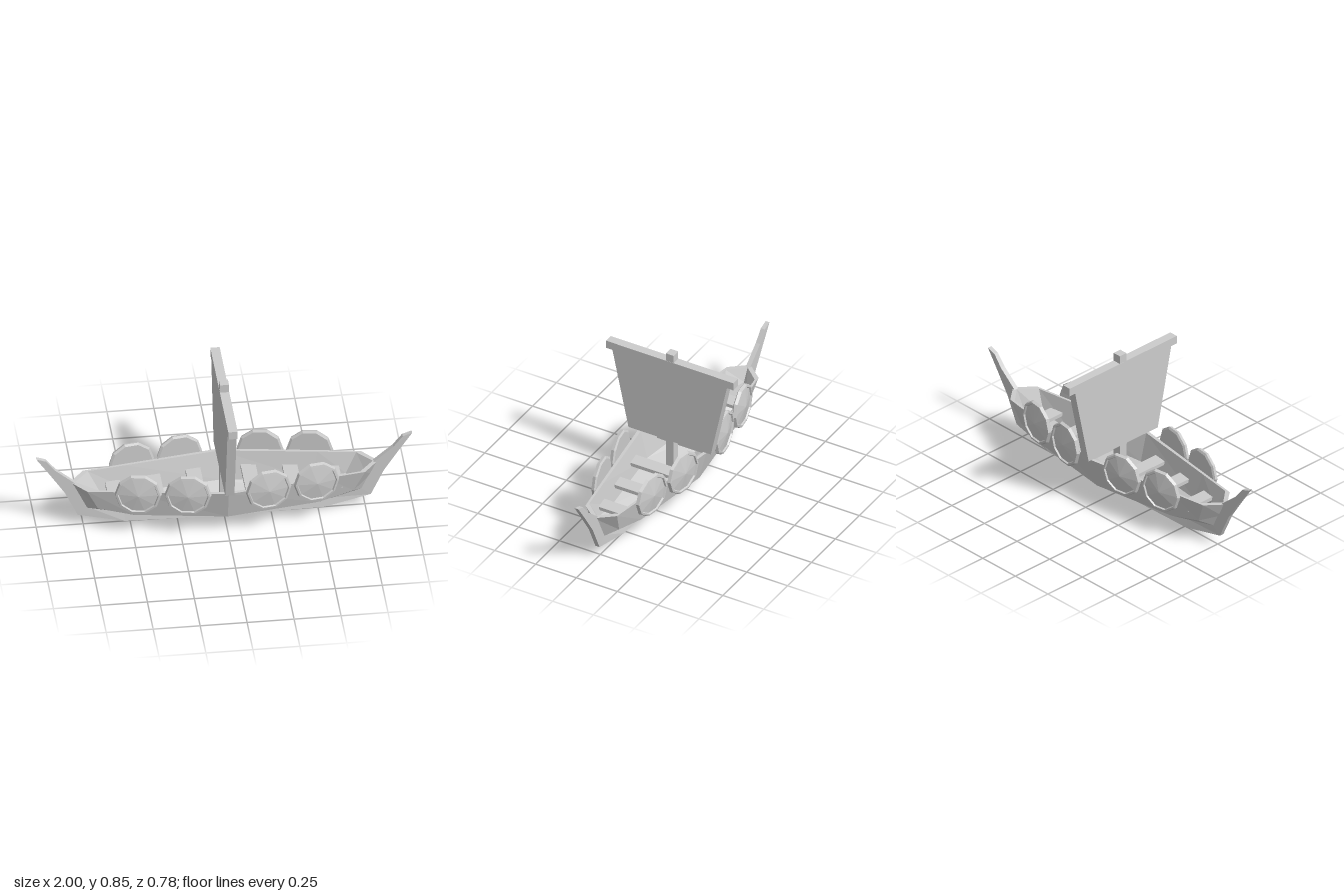
import * as THREE from 'three';

const material = new THREE.MeshStandardMaterial({ color: 0xcccccc, flatShading: true });

function add(parent, name, geometry, x = 0, y = 0, z = 0) {
  const mesh = new THREE.Mesh(geometry, material);
  mesh.name = name;
  mesh.position.set(x, y, z);
  parent.add(mesh);
  return mesh;
}

// Skin a row of closed rings (arrays of [x, y, z]) running from -x to +x
function loft(rings) {
  const n = rings[0].length;
  const index = [];
  for (let i = 0; i < rings.length - 1; i++) {
    for (let j = 0; j < n; j++) {
      const a = i * n + j, b = i * n + (j + 1) % n;
      index.push(a, b, b + n, a, b + n, a + n);
    }
  }
  const indexed = new THREE.BufferGeometry();
  indexed.setAttribute('position', new THREE.Float32BufferAttribute(rings.flat(2), 3));
  indexed.setIndex(index);
  const geometry = indexed.toNonIndexed();
  geometry.computeVertexNormals();
  return geometry;
}

// Mirror the stations of one half about the middle of the ship
function bothEnds(half, makeRing) {
  const flipped = half.slice(1).reverse().map(s => s.map(([x, y, z]) => [-x, y, z]));
  return [...flipped, ...half].map(makeRing);
}

const flipZ = ([x, y, z]) => [x, y, -z];

function hullGeometry() {
  // Each station: keel, chine, gunwale
  const half = [
    [[0, 0.04, 0], [0, 0.1, 0.167], [0, 0.275, 0.21]],
    [[0.53, 0.055, 0], [0.49, 0.105, 0.1], [0.53, 0.275, 0.13]],
    [[0.74, 0.105, 0], [0.68, 0.145, 0.074], [0.74, 0.275, 0.097]],
    [[0.74, 0.105, 0], [0.78, 0.19, 0], [0.82, 0.275, 0]],
  ];
  return loft(bothEnds(half, ([keel, chine, gunwale]) => {
    // Outer skin, then the inner skin back again, joined by the rim
    const inner = ([x, y, z], lift) => [x * 0.965, y + lift, z * 0.91];
    const k = inner(keel, 0.018), c = inner(chine, 0.015), g = inner(gunwale, 0);
    return [gunwale, chine, keel, flipZ(chine), flipZ(gunwale), flipZ(g), flipZ(c), k, c, g];
  }));
}

function keelGeometry() {
  // Each station: outer edge, inner edge; z is the half thickness
  const half = [
    [[0, 0, 0.018], [0, 0.046, 0.01]],
    [[0.53, 0.012, 0.018], [0.53, 0.062, 0.01]],
    [[0.78, 0.07, 0.013], [0.725, 0.115, 0.013]],
    [[0.85, 0.22, 0.013], [0.795, 0.275, 0.013]],
    [[0.925, 0.335, 0.013], [0.9, 0.365, 0.013]],
    [[1, 0.445, 0.012], [0.95, 0.428, 0.012]],
    [[0.975, 0.436, 0], [0.975, 0.436, 0]],
  ];
  return loft(bothEnds(half, ([outer, inner]) => [outer, flipZ(outer), flipZ(inner), inner]));
}

// Tapered slab, narrower at the foot
function sailGeometry(topY, bottomY, topHalf, bottomHalf, thickness) {
  const geometry = new THREE.BoxGeometry(thickness, 1, 2);
  const p = geometry.attributes.position;
  for (let i = 0; i < p.count; i++) {
    const top = p.getY(i) > 0;
    p.setY(i, top ? topY : bottomY);
    p.setZ(i, p.getZ(i) * (top ? topHalf : bottomHalf));
  }
  geometry.computeVertexNormals();
  return geometry;
}

// Ten-sided shield: flat back, raised rim, shallow pointed dome
function shieldGeometry() {
  const profile = [[0, 0], [0.113, 0], [0.125, 0.007], [0.119, 0.024], [0.108, 0.026], [0.104, 0.017], [0, 0.034]];
  const points = profile.map(([r, h]) => new THREE.Vector2(r, h));
  return new THREE.LatheGeometry(points, 10, Math.PI / 2).rotateX(Math.PI / 2);
}

export function createModel() {
  const ship = new THREE.Group();
  ship.name = 'longship';

  add(ship, 'hull', hullGeometry());
  add(ship, 'keelAndStems', keelGeometry());

  // Rowing benches: distance from the middle, half length
  for (const [x, halfLength] of [[0.147, 0.158], [0.365, 0.128], [0.582, 0.095]]) {
    for (const s of [-1, 1]) {
      add(ship, 'bench', new THREE.BoxGeometry(0.08, 0.02, halfLength * 2), s * x, 0.19, 0);
    }
  }

  // Mast, yard and sail
  add(ship, 'mast', new THREE.BoxGeometry(0.048, 0.8, 0.048), 0, 0.45, 0);
  add(ship, 'yard', new THREE.BoxGeometry(0.05, 0.046, 0.78), 0, 0.78, 0);
  add(ship, 'sail', sailGeometry(0.77, 0.295, 0.353, 0.252, 0.049));

  // Four shields along each gunwale, turned to follow its slope
  const shield = shieldGeometry();
  const slope = 0.152;
  for (const turn of [0, Math.PI]) {
    const row = new THREE.Group();
    row.name = turn ? 'rightShields' : 'leftShields';
    if (!turn) row.name = 'frontShields'; else row.name = 'backShields';
    row.rotation.y = turn;
    for (const x of [-0.473, -0.213, 0.213, 0.473]) {
      const mesh = add(row, 'shield', shield, x, 0.273, 0.212 - Math.abs(x) * slope);
      mesh.rotation.y = Math.sign(x) * Math.atan(slope);
    }
    ship.add(row);
  }
  return ship;
}
